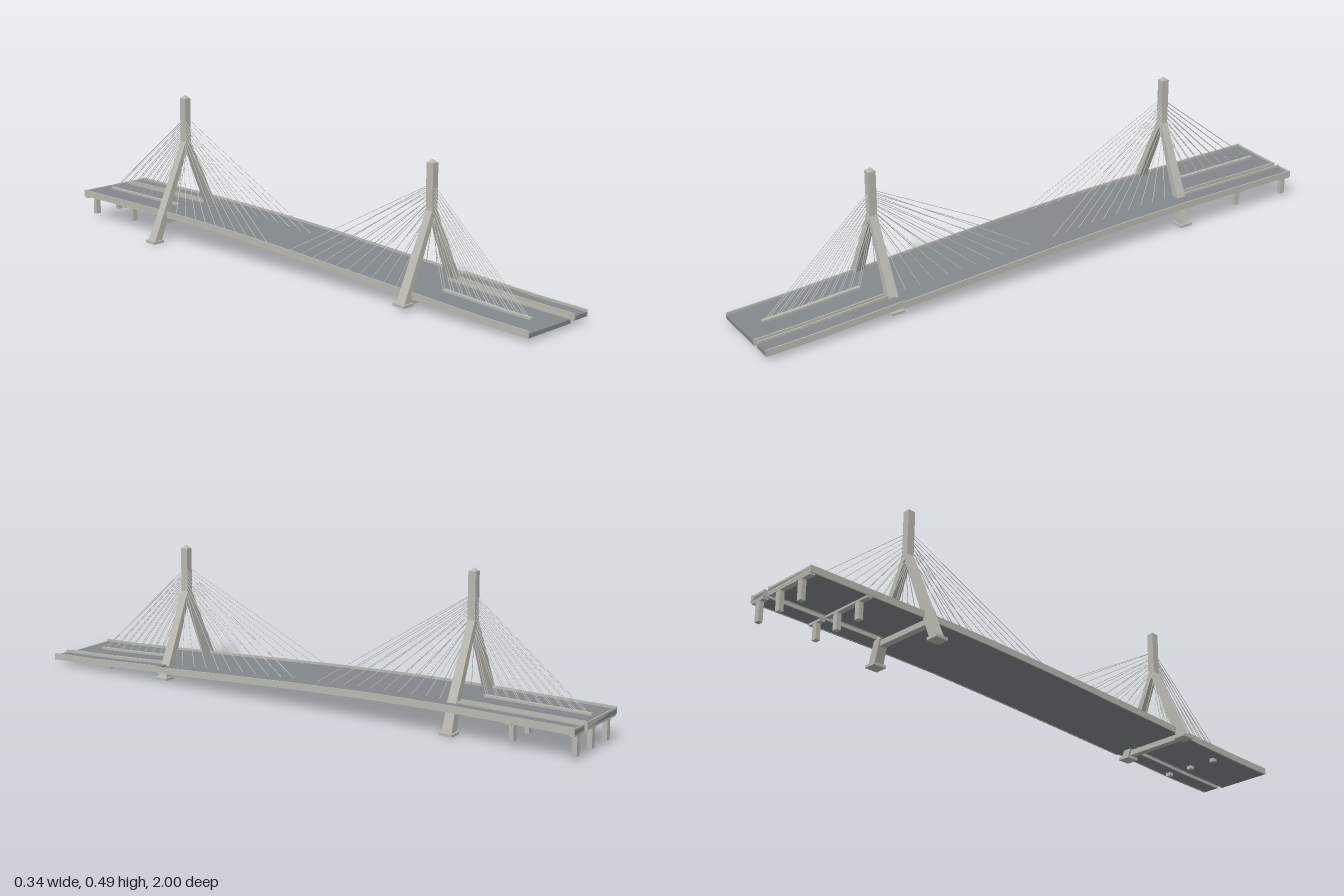
import * as THREE from 'three';

const mat = (name, color) => new THREE.MeshStandardMaterial({ name, color });

// Road surface height along the bridge, as [z, y] points
const PROFILE = [[-1, 0.096], [-0.55, 0.096], [-0.3, 0.091], [0, 0.078], [0.55, 0.047], [0.82, 0.031], [1, 0.025]];
function roadY(z) {
  for (let i = 1; i < PROFILE.length; i++) {
    const [z0, y0] = PROFILE[i - 1], [z1, y1] = PROFILE[i];
    if (z <= z1) return y0 + (y1 - y0) * Math.max(0, (z - z0) / (z1 - z0));
  }
  return 0.025;
}

export function createModel() {
  const model = new THREE.Group();
  model.name = 'cableStayedBridge';
  const asphalt = mat('asphalt', 0x83888d);
  const concrete = mat('concrete', 0xbab9b0);
  const cableGrey = mat('cableGrey', 0xd0d0cc);

  const add = (name, geometry, material, parent = model) => {
    const mesh = new THREE.Mesh(geometry, material);
    mesh.name = name;
    parent.add(mesh);
    return mesh;
  };

  const box = (name, w, h, d, x, y, z, parent) => {
    const mesh = add(name, new THREE.BoxGeometry(w, h, d), concrete, parent);
    mesh.position.set(x, y, z);
  };

  // Long strip following the road; low and high are offsets from the surface
  const strip = (name, x0, x1, z0, z1, low, high, material) => {
    const g = new THREE.BoxGeometry(x1 - x0, high - low, z1 - z0, 1, 1, 24);
    g.translate((x0 + x1) / 2, (low + high) / 2, (z0 + z1) / 2);
    const p = g.attributes.position;
    for (let i = 0; i < p.count; i++) p.setY(i, p.getY(i) + roadY(p.getZ(i)));
    g.computeVertexNormals();
    add(name, g, material);
  };

  // Slanted, tapering leg piece with level ends
  const leg = (bottom, top, z, parent) => {
    const g = new THREE.BoxGeometry(1, 1, 1);
    const p = g.attributes.position;
    for (let i = 0; i < p.count; i++) {
      const [x, y, w, d] = p.getY(i) > 0 ? top : bottom;
      p.setXYZ(i, x + p.getX(i) * w, y, z + p.getZ(i) * d);
    }
    g.computeVertexNormals();
    add('towerLeg', g, concrete, parent);
  };

  const cable = (a, b, parent) => {
    const dir = b.clone().sub(a);
    const mesh = add('stayCable', new THREE.CylinderGeometry(0.001, 0.001, dir.length(), 5), cableGrey, parent);
    mesh.position.copy(a).add(b).multiplyScalar(0.5);
    mesh.quaternion.setFromUnitVectors(new THREE.Vector3(0, 1, 0), dir.normalize());
  };

  // Decks: wide main span, and split approaches at each end
  const REAR = -0.575, FRONT = 0.54;
  strip('mainSpanDeck', -0.107, 0.168, REAR, FRONT, -0.013, 0, asphalt);
  for (const [z0, z1, lift] of [[-1, REAR, 0], [FRONT, 1, 0.004]]) {
    strip('approachDeck', -0.107, 0.086, z0, z1, -0.013, 0, asphalt);
    strip('sideRampDeck', 0.107, 0.166, z0, z1, lift - 0.013, lift, asphalt);
    strip('innerBarrier', 0.083, 0.087, z0, z1, -0.014, 0.008, concrete);
    strip('rampBarrier', 0.106, 0.11, z0, z1, lift - 0.014, lift + 0.008, concrete);
    strip('rampEdgeBarrier', 0.165, 0.169, z0, z1, lift - 0.014, lift + 0.008, concrete);
  }
  strip('rightEdgeBarrier', -0.109, -0.105, -1, 1, -0.014, 0.008, concrete);
  strip('leftEdgeBarrier', 0.165, 0.169, REAR, FRONT, -0.014, 0.008, concrete);

  // Low end walls across the rear approaches
  box('rearEndWall', 0.188, 0.02, 0.004, -0.011, 0.092, -0.998);
  box('rampEndWall', 0.055, 0.02, 0.004, 0.1375, 0.092, -0.998);

  // Raised anchor beams on the centre line of the approaches
  const AXIS = -0.004;
  strip('rearAnchorBeam', AXIS - 0.006, AXIS + 0.006, -0.97, -0.61, -0.001, 0.007, concrete);
  strip('frontAnchorBeam', AXIS - 0.006, AXIS + 0.006, 0.6, 0.93, -0.001, 0.007, concrete);

  // Towers with their legs, footings, crossbeam and cable fans.
  // Each leg is a path of [x, y, width, depth] sections from the foot up.
  const towers = [
    { name: 'frontTower', z: 0.545, join: 0.265, top: 0.43, tip: 0.442,
      legs: [[[-0.127, 0.016, 0.03, 0.034]], [[0.122, 0.007, 0.03, 0.034]]],
      beamY: 0.022, beamHalf: 0.117, stays: [0.27, 0.365], main: [0.49, 0.03], side: [0.6, 0.92] },
    { name: 'rearTower', z: -0.565, join: 0.31, top: 0.48, tip: 0.491,
      legs: [[[-0.15, 0.004, 0.03, 0.034]], [[0.128, 0.004, 0.03, 0.034], [0.103, 0.095, 0.027, 0.032]]],
      beamY: 0.07, beamHalf: 0.112, stays: [0.3, 0.41], main: [-0.51, -0.06], side: [-0.62, -0.96] },
  ];
  for (const t of towers) {
    const group = new THREE.Group();
    group.name = t.name;
    model.add(group);

    box('mast', 0.024, t.top - t.join + 0.002, 0.026, AXIS, (t.top + t.join) / 2, t.z, group);
    const cap = new THREE.CylinderGeometry(0, Math.SQRT1_2, t.tip - t.top, 4, 1, true).toNonIndexed();
    cap.rotateY(Math.PI / 4).scale(0.024, 1, 0.026);
    cap.computeVertexNormals();
    add('mastCap', cap, concrete, group).position.set(AXIS, (t.top + t.tip) / 2, t.z);

    for (const sections of t.legs) {
      const [footX, footY] = sections[0];
      const path = [...sections, [AXIS + Math.sign(footX) * 0.003, t.join + 0.02, 0.018, 0.025]];
      for (let i = 1; i < path.length; i++) leg(path[i - 1], path[i], t.z, group);
      box('footing', 0.043, 0.009, 0.046, footX, footY + 0.0005, t.z, group);
    }
    box('crossbeam', t.beamHalf * 2, 0.018, 0.022, 0, t.beamY, t.z, group);

    const COUNT = 10;
    for (let i = 0; i < COUNT; i++) {
      const f = i / (COUNT - 1);
      const y = THREE.MathUtils.lerp(t.stays[0], t.stays[1], f);
      const zMain = THREE.MathUtils.lerp(t.main[0], t.main[1], f);
      const zSide = THREE.MathUtils.lerp(t.side[0], t.side[1], f);
      for (const s of [-1, 1]) {
        const edge = s < 0 ? -0.1 : 0.094;
        const sideX = AXIS + s * 0.005;
        cable(new THREE.Vector3(AXIS + s * 0.009, y, t.z), new THREE.Vector3(edge, roadY(zMain), zMain), group);
        cable(new THREE.Vector3(sideX, y, t.z), new THREE.Vector3(sideX, roadY(zSide), zSide), group);
      }
    }
  }

  // Piers under the approaches, with caps
  for (const [z, low] of [[-0.99, 0.012], [-0.785, 0.022], [0.775, 0.01]]) {
    const high = roadY(z) - 0.012;
    for (const x of [-0.06, 0.04, 0.137]) box('pier', 0.018, high - low, 0.016, x, (high + low) / 2, z);
    if (z < 0) {
      box('pierCap', 0.19, 0.008, 0.018, -0.011, high - 0.004, z);
      box('rampPierCap', 0.056, 0.008, 0.018, 0.137, high - 0.004, z);
    }
  }
  return model;
}
